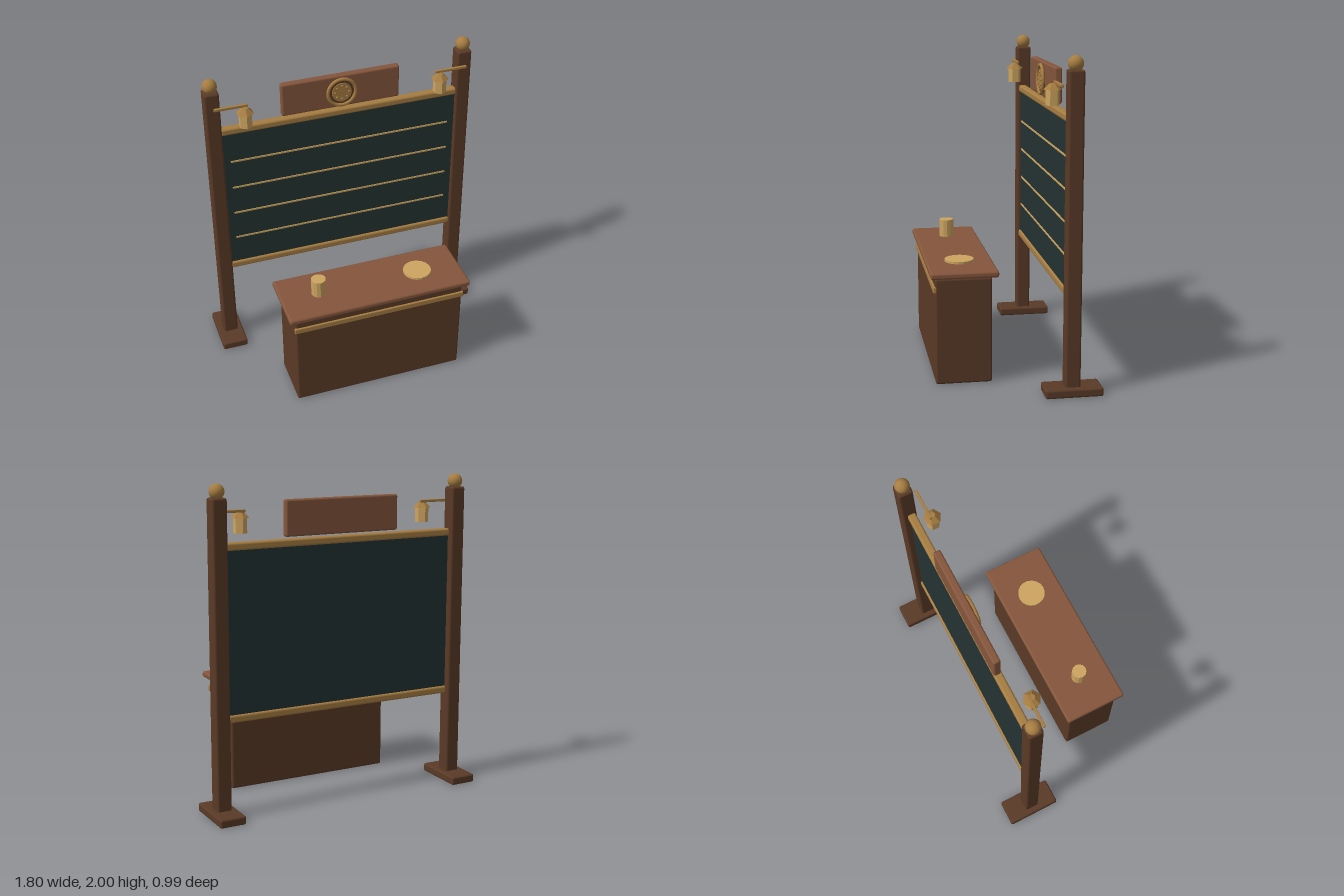
import * as THREE from 'three';
import { RoundedBoxGeometry } from 'three/addons/geometries/RoundedBoxGeometry.js';

const material = (name, color) => {
  const m = new THREE.MeshStandardMaterial({ color });
  m.name = name;
  return m;
};

export function createModel() {
  const darkWood = material('dark wood', 0x5a3a27);
  const warmWood = material('warm wood', 0x85563c);
  const brass = material('brass', 0xa67d42);
  const gold = material('pale gold', 0xcda560);
  const slate = material('slate', 0x243332);

  const model = new THREE.Group();
  model.name = 'boardAndDesk';

  const add = (parent, name, geometry, mat, x, y, z) => {
    const mesh = new THREE.Mesh(geometry, mat);
    mesh.name = name;
    mesh.position.set(x, y, z);
    parent.add(mesh);
    return mesh;
  };
  // Box with softened edges, given by its extents on each axis
  const block = (parent, name, mat, [x0, x1], [y0, y1], [z0, z1], r = 0.01) =>
    add(parent, name, new RoundedBoxGeometry(x1 - x0, y1 - y0, z1 - z0, 2, r), mat,
      (x0 + x1) / 2, (y0 + y1) / 2, (z0 + z1) / 2);
  // Flat-sided prism or frustum
  const prism = (parent, name, mat, rTop, rBottom, h, sides, x, y, z) =>
    add(parent, name, new THREE.CylinderGeometry(rTop, rBottom, h, sides).toNonIndexed(), mat, x, y, z)
      .geometry.computeVertexNormals();

  // Posts with feet, finials and lanterns on both sides
  for (const s of [-1, 1]) {
    const side = new THREE.Group();
    side.name = s < 0 ? 'rightPost' : 'leftPost';
    model.add(side);
    const span = (a, b) => (s > 0 ? [a, b] : [-b, -a]);
    block(side, 'foot', darkWood, span(0.733, 0.9), [0, 0.053], [-0.495, -0.147], 0.012);
    block(side, 'post', darkWood, span(0.768, 0.862), [0.03, 1.92], [-0.365, -0.271], 0.014);
    add(side, 'finial', new THREE.SphereGeometry(0.046, 20, 14), brass, s * 0.815, 1.954, -0.318);
    block(side, 'lanternArm', brass, span(0.605, 0.815), [1.82, 1.837], [-0.252, -0.235], 0.003);
    prism(side, 'lanternBody', gold, 0.042, 0.042, 0.095, 6, s * 0.63, 1.744, -0.225);
    prism(side, 'lanternRoof', brass, 0.02, 0.056, 0.034, 6, s * 0.63, 1.805, -0.225);
  }

  // Writing board between two rails
  block(model, 'boardPanel', slate, [-0.775, 0.775], [0.6, 1.635], [-0.322, -0.294], 0.002);
  block(model, 'topRail', brass, [-0.775, 0.775], [1.61, 1.657], [-0.334, -0.281], 0.014);
  block(model, 'bottomRail', brass, [-0.775, 0.775], [0.58, 0.628], [-0.334, -0.281], 0.014);
  for (let i = 0; i < 4; i++) {
    add(model, 'ruledLine', new THREE.BoxGeometry(1.45, 0.011, 0.006), gold, 0, 0.822 + i * 0.196, -0.292);
  }

  // Header sign with a plain round rosette
  block(model, 'headerSign', warmWood, [-0.383, 0.383], [1.67, 1.89], [-0.337, -0.29], 0.012);
  const rosette = new THREE.Group();
  rosette.name = 'rosette';
  rosette.position.set(0, 1.78, -0.288);
  model.add(rosette);
  add(rosette, 'backDisc', new THREE.CylinderGeometry(0.096, 0.096, 0.014, 32), darkWood, 0, 0, 0).rotation.x = Math.PI / 2;
  add(rosette, 'rim', new THREE.TorusGeometry(0.09, 0.011, 8, 32), brass, 0, 0, 0.009);
  add(rosette, 'innerDisc', new THREE.CylinderGeometry(0.064, 0.064, 0.008, 24), brass, 0, 0, 0.009).rotation.x = Math.PI / 2;
  for (let i = 0; i < 8; i++) {
    const a = (i * Math.PI) / 4;
    add(rosette, 'stud', new THREE.SphereGeometry(0.008, 8, 6), brass,
      0.045 * Math.cos(a), 0.045 * Math.sin(a), 0.013);
  }

  // Desk
  block(model, 'deskBody', darkWood, [-0.556, 0.556], [0, 0.66], [0.115, 0.46], 0.014);
  block(model, 'deskNeck', darkWood, [-0.54, 0.54], [0.64, 0.68], [0.13, 0.445], 0.004);
  block(model, 'deskTop', warmWood, [-0.597, 0.597], [0.667, 0.706], [0.078, 0.491], 0.014);
  block(model, 'deskTrim', brass, [-0.562, 0.562], [0.575, 0.612], [0.452, 0.472], 0.005);

  // Cup and plate on the desk
  prism(model, 'cup', gold, 0.047, 0.047, 0.114, 12, -0.35, 0.762, 0.284);
  prism(model, 'plate', gold, 0.09, 0.09, 0.014, 18, 0.312, 0.713, 0.284);

  return model;
}
